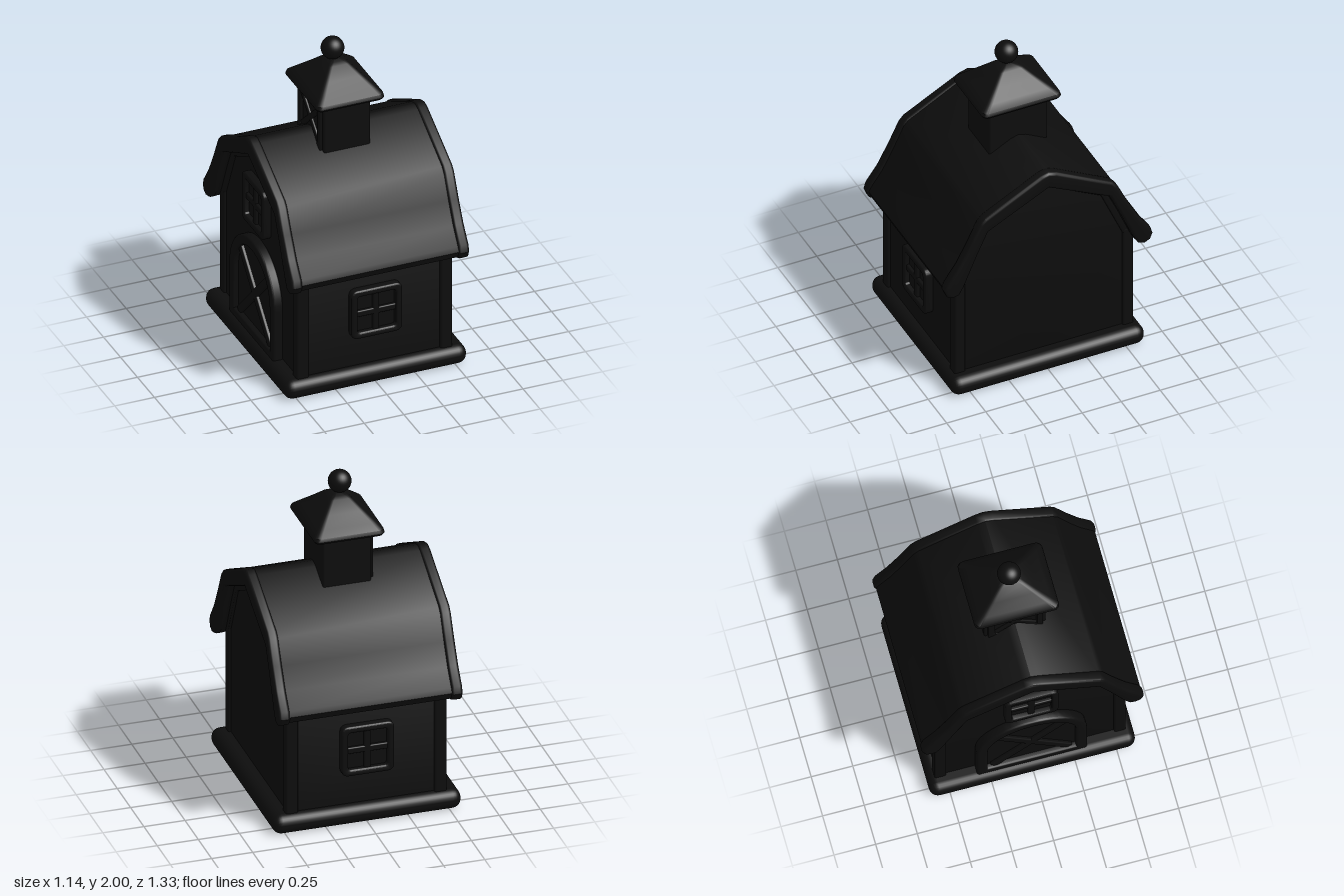
import * as THREE from 'three';
import { toCreasedNormals } from 'three/addons/utils/BufferGeometryUtils.js';
import { RoundedBoxGeometry } from 'three/addons/geometries/RoundedBoxGeometry.js';

const material = new THREE.MeshStandardMaterial({ color: 0x0d0d0d });

function add(parent, name, geometry, x = 0, y = 0, z = 0) {
  const mesh = new THREE.Mesh(geometry, material);
  mesh.name = name;
  mesh.position.set(x, y, z);
  parent.add(mesh);
  return mesh;
}

const box = (w, h, d, r = 0.012) => new RoundedBoxGeometry(w, h, d, 3, r);

// Extrusion from z = 0 to z = depth with softened edges
function extrude(shape, depth, bevel = 0.012) {
  const g = new THREE.ExtrudeGeometry(shape, {
    depth: depth - 2 * bevel, bevelEnabled: true, bevelThickness: bevel,
    bevelSize: bevel, bevelOffset: -bevel, bevelSegments: 3, curveSegments: 12,
  });
  g.translate(0, 0, bevel);
  return toCreasedNormals(g, 0.6);
}

// Profile in z and y, run along x between two positions
function alongX(shape, x0, x1, bevel) {
  return extrude(shape, x1 - x0, bevel).rotateY(Math.PI / 2).translate(x0, 0, 0);
}

// Closed symmetric shape from the outer and inner edge of its right half
function mirroredShape(outer, inner) {
  const flip = ([x, y]) => [-x, y];
  const pts = [
    ...outer.slice(1).reverse().map(flip), ...outer,
    ...[...inner].reverse(), ...inner.slice(1).map(flip),
  ];
  return new THREE.Shape(pts.map(([x, y]) => new THREE.Vector2(x, y)));
}

function roundedRect(w, h, r, Type = THREE.Shape) {
  const s = new Type(), x = w / 2, y = h / 2;
  s.moveTo(-x + r, -y);
  s.lineTo(x - r, -y).quadraticCurveTo(x, -y, x, -y + r);
  s.lineTo(x, y - r).quadraticCurveTo(x, y, x - r, y);
  s.lineTo(-x + r, y).quadraticCurveTo(-x, y, -x, y - r);
  s.lineTo(-x, -y + r).quadraticCurveTo(-x, -y, -x + r, -y);
  return s;
}

function archPath(halfWidth, bottom, spring, rise, Type = THREE.Shape) {
  const s = new Type();
  s.moveTo(-halfWidth, bottom);
  s.lineTo(halfWidth, bottom).lineTo(halfWidth, spring);
  s.absellipse(0, spring, halfWidth, rise, 0, Math.PI, false);
  s.lineTo(-halfWidth, bottom);
  return s;
}

// Two crossed bars reaching the corners of a w by h field
function cross(parent, w, h, thick, depth, y, z) {
  for (const s of [-1, 1]) {
    const bar = add(parent, 'crossBrace', box(Math.hypot(w, h), thick, depth, 0.008), 0, y, z);
    bar.rotation.z = s * Math.atan2(h, w);
  }
}

// Window facing +z with frame, pane and glazing bars
function makeWindow() {
  const g = new THREE.Group();
  g.name = 'window';
  const frame = roundedRect(0.32, 0.32, 0.045);
  frame.holes.push(roundedRect(0.24, 0.24, 0.02, THREE.Path));
  add(g, 'windowFrame', extrude(frame, 0.055, 0.01), 0, 0, -0.015);
  add(g, 'windowPane', new THREE.BoxGeometry(0.27, 0.27, 0.02), 0, 0, -0.002);
  add(g, 'verticalBar', box(0.04, 0.26, 0.04, 0.008), 0, 0, 0.008);
  add(g, 'horizontalBar', box(0.26, 0.04, 0.04, 0.008), 0, 0, 0.008);
  return g;
}

// Square pyramid with rounded corners, lofted from [halfX, halfZ, y, cornerRadius]
function loftRoof(rings) {
  const pos = [], idx = [], n = 20;
  for (const [hx, hz, y, r] of rings)
    for (let c = 0; c < 4; c++)
      for (let i = 0; i < 5; i++) {
        const a = (c + i / 4) * Math.PI / 2;
        const sx = c === 0 || c === 3 ? 1 : -1, sz = c < 2 ? 1 : -1;
        pos.push(sx * (hx - r) + r * Math.cos(a), y, sz * (hz - r) + r * Math.sin(a));
      }
  for (let k = 0; k < rings.length - 1; k++)
    for (let i = 0; i < n; i++) {
      const a = k * n + i, b = k * n + (i + 1) % n;
      idx.push(a, a + n, b, b, a + n, b + n);
    }
  const g = new THREE.BufferGeometry();
  g.setAttribute('position', new THREE.Float32BufferAttribute(pos, 3));
  g.setIndex(idx);
  return toCreasedNormals(g, 0.6);
}

export function createModel() {
  const barn = new THREE.Group();
  barn.name = 'barn';

  // Plinth and walls
  add(barn, 'base', box(1.145, 0.12, 1.235, 0.055), 0, 0.06, 0);
  const gable = mirroredShape([[0, 1.38], [0.39, 1.17], [0.555, 0.8], [0.555, 0.08]], [[0, 0.08]]);
  add(barn, 'walls', alongX(gable, -0.475, 0.475, 0.004));
  for (const x of [-1, 1])
    for (const z of [-1, 1])
      add(barn, 'cornerPost', box(0.075, 0.74, 0.07), x * 0.453, 0.45, z * 0.539);

  // Gambrel roof with flared eaves and slightly raised end bands
  const inner = [[0, 1.335], [0.39, 1.14], [0.46, 0.99], [0.545, 0.79]];
  const outer = [[0, 1.442], [0.05, 1.428], [0.41, 1.238], [0.44, 1.205], [0.51, 1.06], [0.58, 0.93],
    [0.653, 0.828], [0.666, 0.785], [0.65, 0.745], [0.615, 0.728], [0.575, 0.738]];
  const sunken = outer.map(([z, y]) => [z * 0.987, y > 0.8 ? y - 0.006 : y + 0.006]);
  add(barn, 'roof', alongX(mirroredShape(sunken, inner), -0.52, 0.52, 0.006));
  add(barn, 'roofEndBand', alongX(mirroredShape(outer, inner), -0.56, -0.49, 0.018));
  add(barn, 'roofEndBand', alongX(mirroredShape(outer, inner), 0.49, 0.56, 0.018));

  // Trim under the roof on both gables
  const trim = mirroredShape([[0, 1.37], [0.4, 1.16], [0.555, 0.8]], [[0, 1.3], [0.365, 1.11], [0.505, 0.79]]);
  add(barn, 'gableTrim', alongX(trim, -0.49, -0.45, 0.008));
  add(barn, 'gableTrim', alongX(trim, 0.45, 0.49, 0.008));

  // Windows on the long sides and above the door
  for (const [x, y, z, turn] of [[0, 0.48, 0.567, 0], [0, 0.48, -0.567, Math.PI], [-0.488, 0.985, 0, -Math.PI / 2]]) {
    const w = makeWindow();
    w.position.set(x, y, z);
    w.rotation.y = turn;
    barn.add(w);
  }

  // Arched door with crossed braces
  const door = new THREE.Group();
  door.name = 'door';
  const frame = archPath(0.33, 0.1, 0.44, 0.31);
  frame.holes.push(archPath(0.265, 0.16, 0.44, 0.245, THREE.Path));
  add(door, 'doorFrame', extrude(frame, 0.065, 0.014), 0, 0, -0.02);
  add(door, 'doorPanel', extrude(archPath(0.29, 0.12, 0.44, 0.27), 0.03, 0.004), 0, 0, -0.02);
  cross(door, 0.46, 0.46, 0.05, 0.04, 0.39, 0.01);
  door.position.x = -0.49;
  door.rotation.y = -Math.PI / 2;
  barn.add(door);

  // Cupola with a braced shutter on the door side
  const cupola = new THREE.Group();
  cupola.name = 'cupola';
  add(cupola, 'cupolaWalls', box(0.295, 0.44, 0.37), 0, 1.47, 0);
  const shutter = new THREE.Group();
  shutter.name = 'shutter';
  const border = roundedRect(0.33, 0.3, 0.02);
  border.holes.push(roundedRect(0.25, 0.22, 0.015, THREE.Path));
  add(shutter, 'shutterFrame', extrude(border, 0.03, 0.007), 0, 1.5, -0.01);
  cross(shutter, 0.25, 0.22, 0.035, 0.022, 1.5, 0.004);
  shutter.position.x = -0.146;
  shutter.rotation.y = -Math.PI / 2;
  cupola.add(shutter);
  add(cupola, 'cupolaRoof', loftRoof([
    [0, 0, 1.66, 0], [0.185, 0.22, 1.66, 0.02], [0.205, 0.243, 1.664, 0.03],
    [0.215, 0.254, 1.68, 0.035], [0.21, 0.248, 1.7, 0.035], [0.175, 0.206, 1.735, 0.03],
    [0.12, 0.14, 1.79, 0.025], [0.065, 0.075, 1.847, 0.02], [0.045, 0.05, 1.86, 0.02], [0, 0, 1.868, 0],
  ]));
  add(cupola, 'finialBall', new THREE.SphereGeometry(0.069, 32, 20), -0.014, 1.931, 0);
  cupola.position.x = -0.008;
  barn.add(cupola);

  return barn;
}
